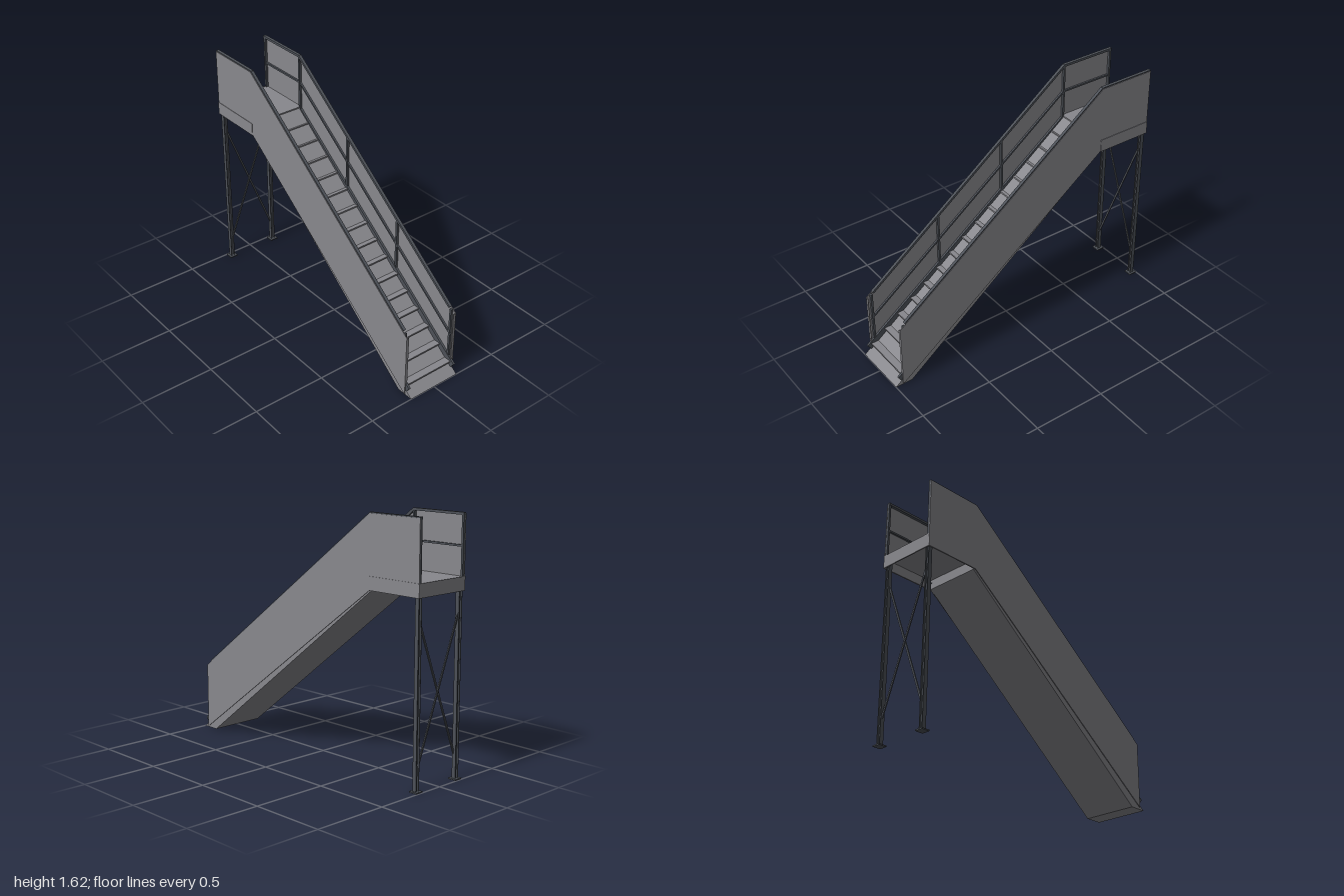
import * as THREE from 'three';

export function createModel() {
  const model = new THREE.Group();
  const sheet = new THREE.MeshStandardMaterial({ color: 0x88888d });
  sheet.name = 'grey sheet metal';
  const steel = new THREE.MeshStandardMaterial({ color: 0x4d5158 });
  steel.name = 'dark steel';

  const add = (name, geometry, material) => {
    const mesh = new THREE.Mesh(geometry, material);
    mesh.name = name;
    model.add(mesh);
    return mesh;
  };
  const box = (name, material, w, h, d, x, y, z) => {
    const mesh = add(name, new THREE.BoxGeometry(w, h, d), material);
    mesh.position.set(x, y, z);
    return mesh;
  };
  // straight bar of section w x h between two points
  const bar = (name, a, b, w, h) => {
    const from = new THREE.Vector3(...a), to = new THREE.Vector3(...b);
    const mesh = add(name, new THREE.BoxGeometry(w, h, from.distanceTo(to)), steel);
    mesh.position.copy(from).lerp(to, 0.5);
    mesh.lookAt(to);
    return mesh;
  };
  // side profile of [z, y] points, extruded across x
  const profile = (name, points, width, x) => {
    const shape = new THREE.Shape(points.map(p => new THREE.Vector2(...p)));
    const geometry = new THREE.ExtrudeGeometry(shape, { depth: width, bevelEnabled: false });
    geometry.translate(0, 0, -width / 2).rotateY(-Math.PI / 2);
    add(name, geometry, sheet).position.x = x;
  };

  // sloping body under the steps
  profile('flightBody', [[1, 0], [0.88, 0], [-0.61, 1.16], [-0.61, 1.243]], 0.38, 0);

  // treads emerging from the sloping body
  const rise = 0.0777, going = 0.1036;
  for (let i = 0; i < 15; i++) {
    box('tread', sheet, 0.372, 0.01, 0.08, 0, rise * (i + 1) - 0.005, 0.95 - going * i - 0.04);
  }

  // landing deck with a skirt all round
  box('landingDeck', sheet, 0.39, 0.02, 0.39, 0, 1.234, -0.795);
  box('landingBackSkirt', sheet, 0.404, 0.085, 0.008, 0, 1.2025, -0.988);
  box('landingFrontSkirt', sheet, 0.38, 0.08, 0.008, 0, 1.2, -0.606);

  const topLine = z => (z < -0.6 ? 1.615 : 0.45 + (0.95 - z) * 0.7516);

  for (const s of [1, -1]) {
    // side panel, its front return and landing skirt
    profile('sidePanel', [[0.95, 0.01], [0.95, 0.45], [-0.6, 1.615],
      [-0.99, 1.615], [-0.99, 1.16], [-0.6, 1.16]], 0.005, s * 0.1985);
    box('panelFrontReturn', sheet, 0.018, 0.41, 0.005, s * 0.191, 0.24, 0.947);
    box('landingSideSkirt', sheet, 0.005, 0.085, 0.39, s * 0.2015, 1.2025, -0.796);

    // handrail, middle rail and stringer
    const x = s * 0.188;
    bar('handrail', [x, topLine(0.91), 0.91], [x, 1.614, -0.6], 0.02, 0.016);
    bar('handrail', [x, 1.614, -0.596], [x, 1.614, -0.99], 0.02, 0.016);
    bar('middleRail', [x, topLine(0.93) - 0.19, 0.93], [x, 1.425, -0.6], 0.012, 0.012);
    bar('middleRail', [x, 1.425, -0.6], [x, 1.425, -0.985], 0.012, 0.012);
    bar('stringer', [s * 0.186, 0.052, 0.968], [s * 0.186, 1.22, -0.6], 0.014, 0.044);

    // railing posts
    for (const z of [0.92, 0.4, -0.1, -0.6, -0.982]) {
      const top = topLine(z) - 0.005;
      const bottom = z < -0.6 ? 1.2 : top - 0.4;
      box('railPost', steel, 0.016, top - bottom, 0.014, x, (top + bottom) / 2, z);
    }

    // I-section support leg with a base plate
    const legX = s * 0.178, legZ = -0.968;
    for (const f of [1, -1]) {
      box('legFlange', steel, 0.005, 1.2, 0.027, legX + f * 0.0115, 0.6, legZ);
    }
    box('legWeb', steel, 0.02, 1.2, 0.006, legX, 0.6, legZ);
    box('basePlate', steel, 0.056, 0.008, 0.056, legX, 0.004, legZ);

    // crossed diagonal brace
    bar('crossBrace', [-s * 0.168, 0.16, legZ + s * 0.005],
      [s * 0.168, 1.03, legZ + s * 0.005], 0.008, 0.012);
  }
  return model;
}
